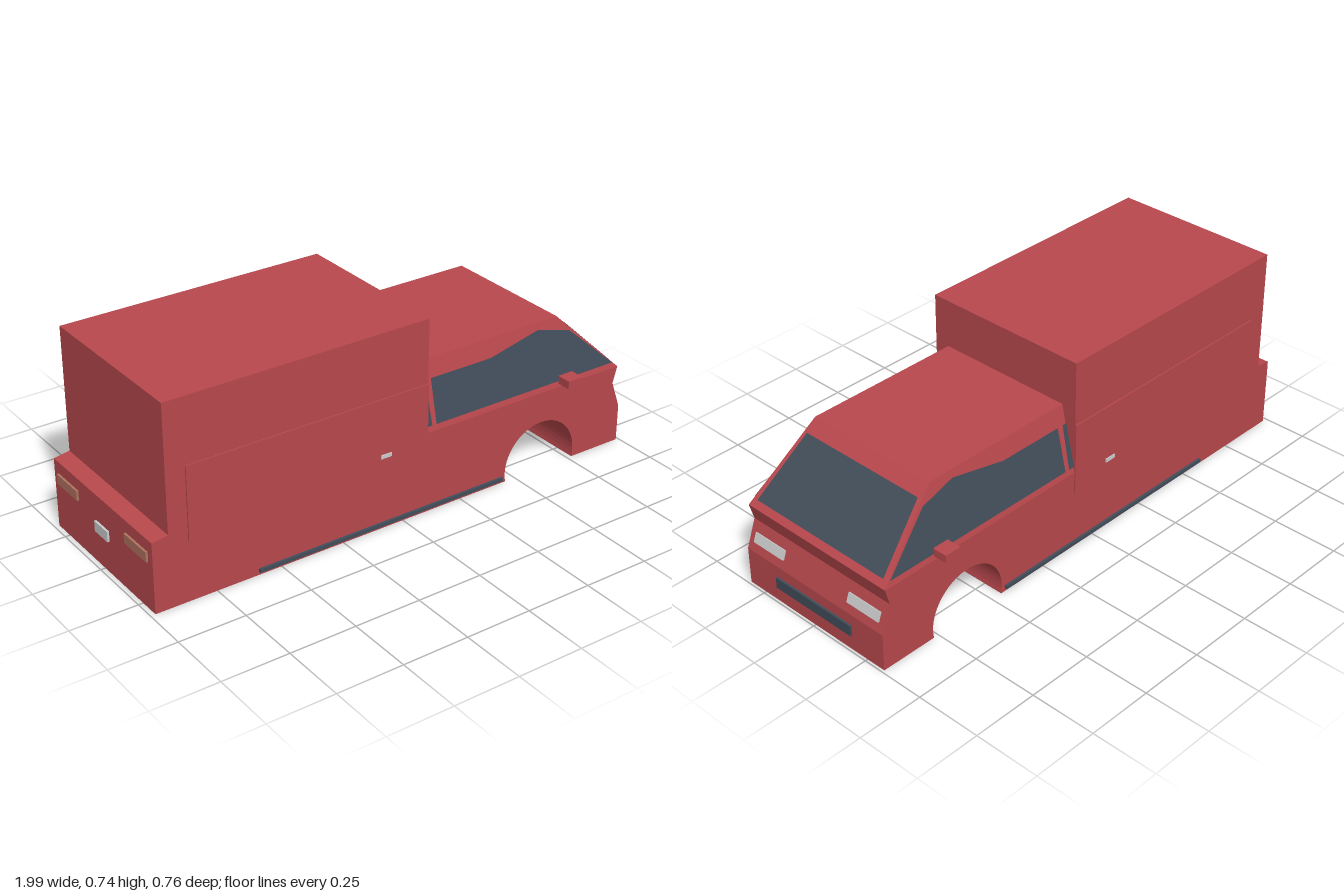
import * as THREE from 'three';

const W = 0.328; // half width of the body
const mat = (name, color, side = THREE.FrontSide) => {
  const m = new THREE.MeshStandardMaterial({ color, side });
  m.name = name;
  return m;
};

// half width of the cab at height y (sides lean inwards above the belt line)
const cabHalf = (y) => W - Math.max(0, y - 0.31) * 0.236;

const shapeOf = (pts) => new THREE.Shape(pts.map(([x, y]) => new THREE.Vector2(x, y)));

function extrudeAcross(shape, half) {
  const g = new THREE.ExtrudeGeometry(shape, { depth: half * 2, bevelEnabled: false, curveSegments: 16 });
  return g.translate(0, 0, -half);
}

export function createModel() {
  const group = new THREE.Group();
  const red = mat('redPaint', 0xb9484d);
  const glass = mat('darkGlass', 0x414d5a, THREE.DoubleSide);
  const silver = mat('silver', 0xcccccc);
  const amber = mat('tailLamp', 0xb0735f);

  const add = (name, geometry, material) => {
    const m = new THREE.Mesh(geometry, material);
    m.name = name;
    group.add(m);
    return m;
  };
  // box from its lower and upper limits
  const box = (name, [x0, x1], [y0, y1], [z0, z1], material) => {
    const m = add(name, new THREE.BoxGeometry(x1 - x0, y1 - y0, z1 - z0), material);
    m.position.set((x0 + x1) / 2, (y0 + y1) / 2, (z0 + z1) / 2);
    return m;
  };

  // lower body with the front wheel arch cut right through
  const body = new THREE.Shape();
  const cx = 0.613, cy = 0.032, r = 0.16, a = Math.asin(cy / r);
  body.moveTo(-0.982, 0);
  body.lineTo(cx - r * Math.cos(a), 0);
  body.absarc(cx, cy, r, Math.PI + a, -a, true);
  [[0.99, 0], [0.99, 0.143], [0.952, 0.247], [0.97, 0.311], [0.05, 0.311], [0.05, 0.275],
    [-0.92, 0.275], [-0.982, 0.265]].forEach(([x, y]) => body.lineTo(x, y));
  add('lowerBody', extrudeAcross(body, W), red);

  // cab, narrowed towards the roof
  const cab = extrudeAcross(shapeOf([[0.05, 0.311], [0.97, 0.311], [0.712, 0.561], [0.05, 0.561]]), 1);
  const p = cab.attributes.position;
  for (let i = 0; i < p.count; i++) p.setZ(i, p.getZ(i) * cabHalf(p.getY(i)));
  cab.computeVertexNormals();
  add('cab', cab, red);

  // cargo box
  box('cargoBox', [-0.922, 0.098], [0.27, 0.743], [-W, W], red);

  // windscreen lying just above the sloping cab front
  const slopeX = (y) => 0.97 - (y - 0.311) * 1.032 + 0.005;
  const screen = new THREE.PlaneGeometry(2, 1);
  const s = screen.attributes.position;
  for (let i = 0; i < s.count; i++) {
    const top = s.getY(i) > 0;
    const y = top ? 0.522 : 0.333;
    s.setXYZ(i, slopeX(y), y, -s.getX(i) * (top ? 0.262 : 0.302));
  }
  screen.computeVertexNormals();
  add('windscreen', screen, glass);

  const windows = {
    sideWindow: [[0.14, 0.333], [0.945, 0.333], [0.76, 0.5], [0.62, 0.535], [0.4, 0.493], [0.14, 0.493]],
    quarterWindow: [[0.06, 0.333], [0.122, 0.333], [0.116, 0.493], [0.098, 0.493]],
  };

  for (const side of [1, -1]) {
    const label = side > 0 ? 'left' : 'right';
    const zs = (near, far) => (side > 0 ? [near, far] : [-far, -near]);

    // side glass follows the lean of the cab
    for (const [name, pts] of Object.entries(windows)) {
      const g = new THREE.ShapeGeometry(shapeOf(side > 0 ? pts : pts.map(([x, y]) => [-x, y])));
      const q = g.attributes.position;
      for (let i = 0; i < q.count; i++) q.setZ(i, cabHalf(q.getY(i)) + 0.003);
      if (side < 0) g.rotateY(Math.PI);
      g.computeVertexNormals();
      add(label + name, g, glass);
    }

    // raised cargo side panel, handle, sill trim and mirror
    box(label + 'SidePanel', [-0.85, 0.098], [0.225, 0.502], zs(W - 0.01, 0.333), red);
    box(label + 'Handle', [-0.1, -0.056], [0.278, 0.292], zs(0.325, 0.337), silver);
    box(label + 'SillTrim', [-0.59, 0.438], [0.012, 0.025], zs(0.32, 0.338), glass);
    box(label + 'Mirror', [0.69, 0.754], [0.322, 0.352], zs(0.31, 0.378), red);

    // lamps
    const lamp = box(label + 'Headlamp', [0.969, 0.978], [0.175, 0.211], zs(0.155, 0.302), silver);
    lamp.rotation.z = Math.atan2(0.038, 0.104);
    box(label + 'TailLamp', [-0.99, -0.981], [0.183, 0.22], zs(0.16, 0.3), amber);
  }

  // grille and rear plate
  box('grille', [0.989, 0.998], [0.06, 0.101], [-0.181, 0.181], glass);
  box('rearPlate', [-0.99, -0.981], [0.125, 0.165], [-0.043, 0.043], silver);

  return group;
}
